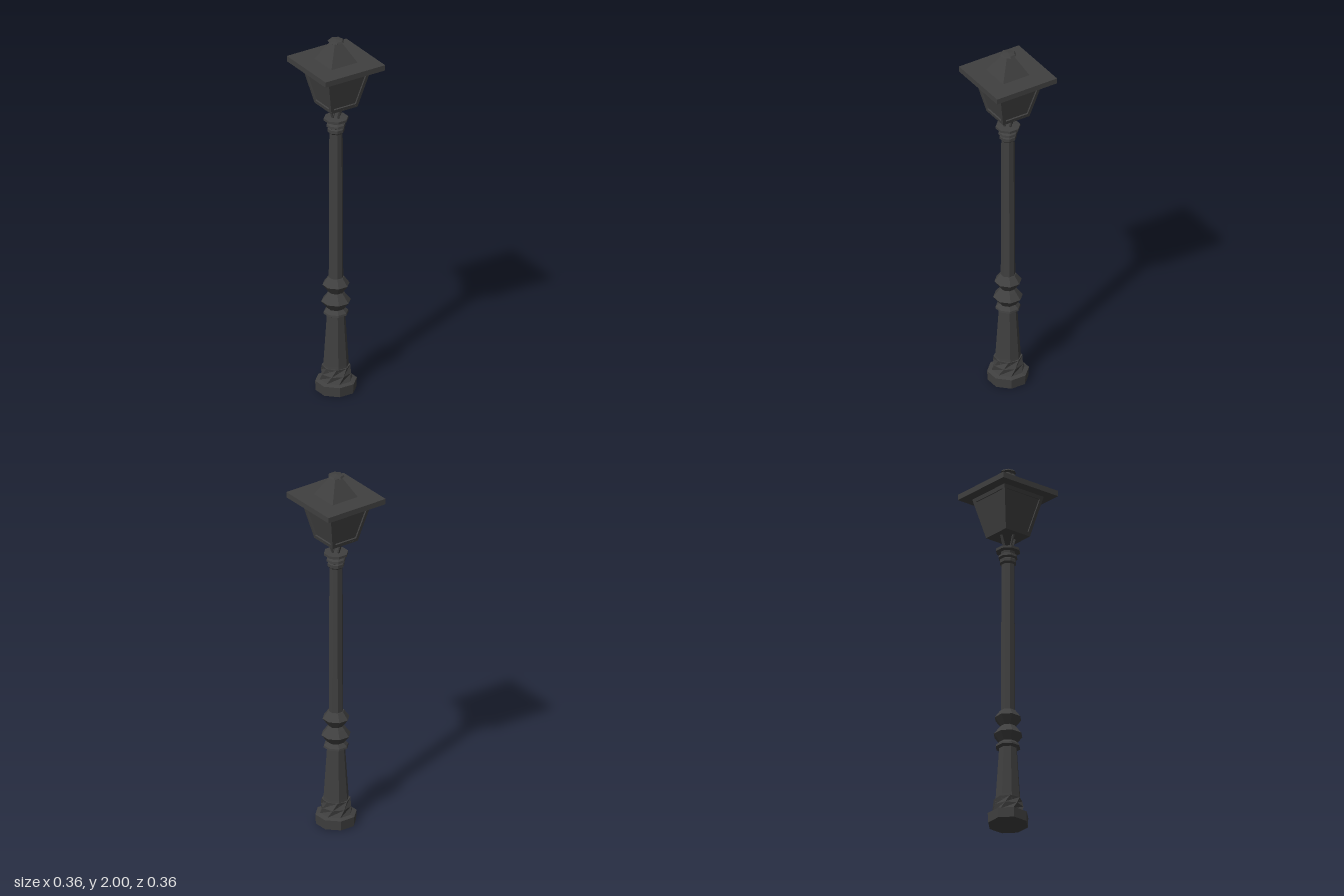
import * as THREE from 'three';

const iron = new THREE.MeshStandardMaterial({ color: 0x404040, flatShading: true });
iron.name = 'dark iron';

export function createModel() {
  const model = new THREE.Group();
  model.name = 'streetLamp';

  const add = (name, geometry, parent = model) => {
    const mesh = new THREE.Mesh(geometry, iron);
    mesh.name = name;
    parent.add(mesh);
    return mesh;
  };

  // Eight-sided turned part; the profile lists [radius, height] from bottom to top
  const turned = (name, profile, sides = 8) =>
    add(name, new THREE.LatheGeometry(
      profile.map(([r, y]) => new THREE.Vector2(r, y)), sides, Math.PI / sides));

  // Square tapered block given by half widths and heights
  const taper = (name, bottom, top, y0, y1) => {
    const g = new THREE.CylinderGeometry(top * Math.SQRT2, bottom * Math.SQRT2, y1 - y0, 4);
    g.rotateY(Math.PI / 4).translate(0, (y0 + y1) / 2, 0);
    return add(name, g);
  };

  // Foot and pedestal
  turned('foot', [[0, 0], [0.106, 0], [0.109, 0.053], [0.082, 0.06], [0, 0.06]]);
  turned('pedestal', [[0.069, 0.12], [0.066, 0.15], [0.047, 0.44], [0, 0.44]]);

  // Twisted moulding: each ring of corners turns further with height
  const twist = new THREE.CylinderGeometry(0.074, 0.086, 0.08, 8, 2);
  const p = twist.attributes.position;
  const v = new THREE.Vector3();
  const up = new THREE.Vector3(0, 1, 0);
  for (let i = 0; i < p.count; i++) {
    v.fromBufferAttribute(p, i).applyAxisAngle(up, Math.PI / 8 + (v.y + 0.04) * 8);
    p.setXYZ(i, v.x, v.y, v.z);
  }
  add('twistedMoulding', twist.translate(0, 0.097, 0));

  // Collars between the pedestal and the shaft
  turned('lowerFlange', [[0.045, 0.425], [0.066, 0.435], [0.064, 0.445], [0.044, 0.465], [0, 0.465]]);
  turned('lowerCollar', [[0.042, 0.46], [0.077, 0.505], [0.05, 0.54], [0.038, 0.555]]);
  turned('upperCollar', [[0.038, 0.555], [0.071, 0.6], [0.042, 0.64], [0, 0.645]]);

  // Shaft and capital
  turned('shaft', [[0.038, 0.62], [0.035, 1.48]]);
  turned('capital', [
    [0.034, 1.465], [0.044, 1.475], [0.044, 1.492], [0.038, 1.498], [0.051, 1.505],
    [0.049, 1.517], [0.036, 1.525], [0.038, 1.538], [0.064, 1.54], [0.064, 1.553], [0, 1.556],
  ]);

  // Splayed struts carrying the lantern
  const rod = (name, from, to, r) => {
    const dir = to.clone().sub(from);
    const mesh = add(name, new THREE.CylinderGeometry(r, r, dir.length(), 5));
    mesh.position.copy(from).add(to).multiplyScalar(0.5);
    mesh.quaternion.setFromUnitVectors(up, dir.normalize());
  };
  for (let i = 0; i < 4; i++) {
    const a = i * Math.PI / 2;
    rod('strut', new THREE.Vector3(Math.cos(a) * 0.016, 1.545, Math.sin(a) * 0.016),
      new THREE.Vector3(Math.cos(a) * 0.046, 1.63, Math.sin(a) * 0.046), 0.007);
  }

  // Lantern: recessed panes, floor, and a raised frame on each side
  taper('lanternPanes', 0.072, 0.122, 1.628, 1.85);
  taper('lanternFloor', 0.08, 0.082, 1.625, 1.634);
  const tilt = Math.atan2(0.05, 0.22);
  const len = Math.hypot(0.05, 0.22);
  const frame = new THREE.Shape([
    new THREE.Vector2(-0.08, 0), new THREE.Vector2(0.08, 0),
    new THREE.Vector2(0.13, len), new THREE.Vector2(-0.13, len),
  ]);
  frame.holes.push(new THREE.Path([
    new THREE.Vector2(-0.066, 0.02), new THREE.Vector2(-0.108, len - 0.02),
    new THREE.Vector2(0.108, len - 0.02), new THREE.Vector2(0.066, 0.02),
  ]));
  for (let i = 0; i < 4; i++) {
    const g = new THREE.ExtrudeGeometry(frame, { depth: 0.01, bevelEnabled: false });
    g.translate(0, 0, -0.01).rotateX(tilt).translate(0, 1.626, 0.08).rotateY(i * Math.PI / 2);
    add('lanternFrame', g);
  }

  // Roof plate, hipped cap and finial
  const roof = add('roofPlate', new THREE.BoxGeometry(0.364, 0.03, 0.364));
  roof.position.y = 1.862;
  taper('roofCap', 0.08, 0.022, 1.877, 1.982);
  turned('finial', [[0.024, 1.972], [0.028, 1.983], [0.043, 1.988], [0.037, 1.996], [0, 2]], 7);

  return model;
}
